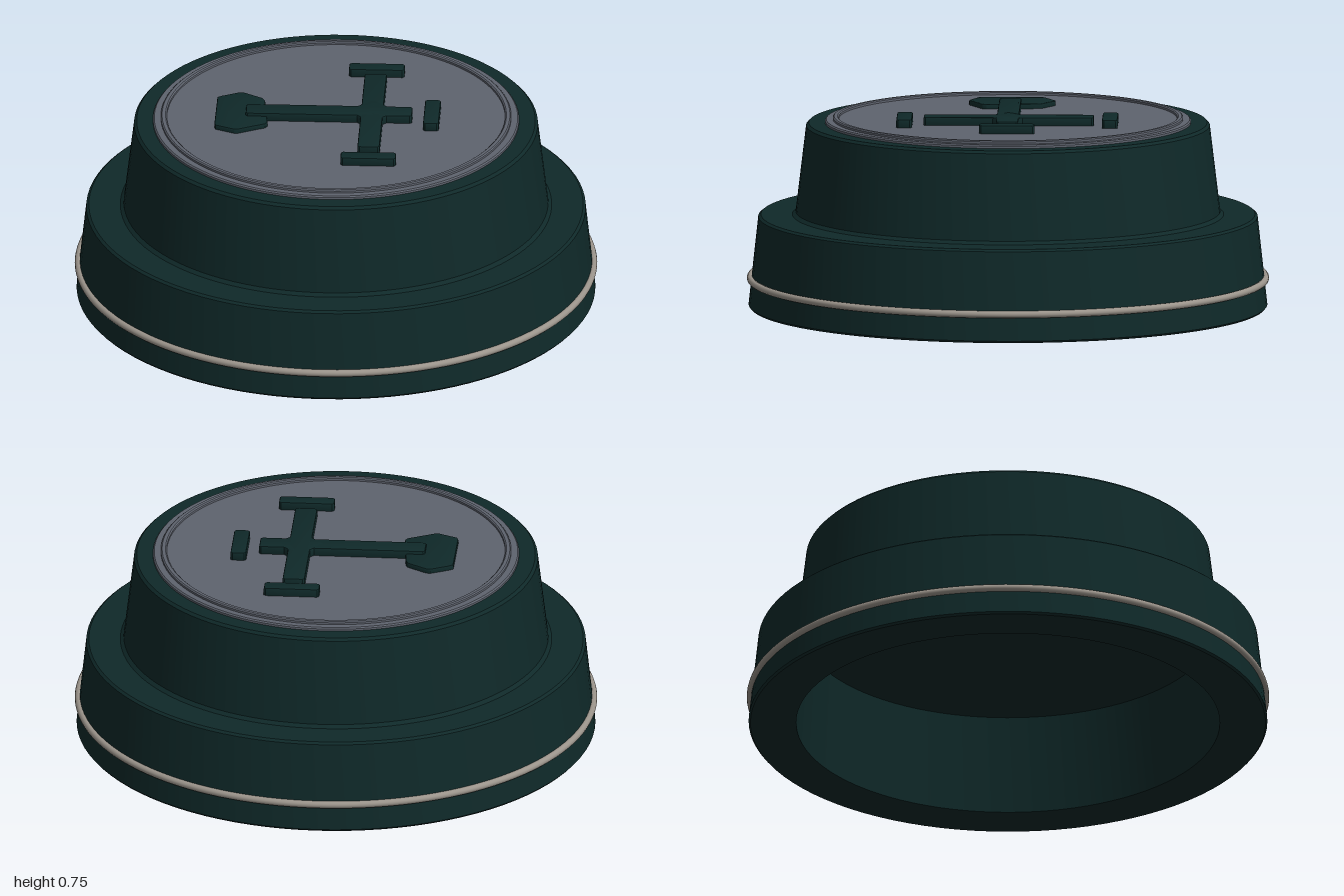
import * as THREE from 'three';
import { toCreasedNormals } from 'three/addons/utils/BufferGeometryUtils.js';

export function createModel() {
  const model = new THREE.Group();
  model.name = 'steppedCap';

  const material = (name, color) => {
    const m = new THREE.MeshStandardMaterial({ color });
    m.name = name;
    return m;
  };
  const darkGreen = material('darkGreen', 0x0f2929);
  const slateGrey = material('slateGrey', 0x5e636e);
  const paleMetal = material('paleMetal', 0x9c958c);

  const add = (name, geometry, mat, parent = model) => {
    const mesh = new THREE.Mesh(geometry, mat);
    mesh.name = name;
    parent.add(mesh);
    return mesh;
  };

  // Revolved solid with crisp edges; profile points are [radius, height]
  const lathe = (points) => toCreasedNormals(
    new THREE.LatheGeometry(points.map(([r, y]) => new THREE.Vector2(r, y)), 96), 0.5);

  // Two-tier body, hollow underneath
  add('body', lathe([
    [0, 0.385], [0.78, 0.385], [0.81, 0], [0.985, 0], [0.992, 0.008],
    [0.955, 0.348], [0.945, 0.356], [0.825, 0.356], [0.812, 0.368],
    [0.772, 0.7], [0.762, 0.71], [0, 0.71],
  ]), darkGreen);

  // Metal band around the lower tier
  const band = new THREE.TorusGeometry(0.985, 0.014, 12, 128);
  band.rotateX(Math.PI / 2);
  add('band', band, paleMetal).position.y = 0.11;

  // Round plate with a raised rim ring
  add('topPlate', lathe([[0.7, 0.705], [0.7, 0.718], [0.695, 0.723], [0, 0.723]]), slateGrey);
  add('plateRing', lathe([
    [0.67, 0.72], [0.67, 0.731], [0.665, 0.735], [0.652, 0.735], [0.647, 0.731], [0.647, 0.72],
  ]), slateGrey);

  // Raised crossed-tools relief
  const relief = new THREE.Group();
  relief.name = 'relief';
  model.add(relief);
  const bevel = 0.006;

  // Bevelled flat slab from [x, z] outline points, with its top at the given height
  const slab = (name, outline, top) => {
    const shape = new THREE.Shape(outline.map(([x, z]) => new THREE.Vector2(x, -z)));
    const base = 0.716;
    const geometry = new THREE.ExtrudeGeometry(shape, {
      depth: top - base - bevel, bevelThickness: bevel, bevelSize: bevel,
      bevelOffset: -bevel, bevelSegments: 2,
    });
    geometry.rotateX(-Math.PI / 2);
    geometry.translate(0, base, 0);
    add(name, toCreasedNormals(geometry, 0.5), darkGreen, relief);
  };

  // Straight bar between two [x, z] ends, with clipped corners
  const bar = (name, [x0, z0], [x1, z1], width) => {
    const length = Math.hypot(x1 - x0, z1 - z0);
    const dx = (x1 - x0) / length, dz = (z1 - z0) / length;
    const h = width / 2, c = 0.008;
    const at = (u, v) => [x0 + dx * u - dz * v, z0 + dz * u + dx * v];
    slab(name, [
      at(c, -h), at(length - c, -h), at(length, c - h), at(length, h - c),
      at(length - c, h), at(c, h), at(0, h - c), at(0, c - h),
    ], 0.755);
  };

  slab('hammerHead', [
    [-0.235, -0.415], [-0.215, -0.412], [-0.142, -0.388], [-0.132, -0.375], [-0.113, -0.29],
    [-0.12, -0.27], [-0.245, -0.12], [-0.262, -0.115], [-0.37, -0.15], [-0.382, -0.16],
    [-0.41, -0.235], [-0.402, -0.25],
  ], 0.742);
  bar('hammerHandle', [-0.242, -0.245], [0.208, 0.205], 0.085);
  bar('crossBar', [0.332, -0.137], [-0.128, 0.323], 0.085);
  bar('hub', [0.03, 0.096], [0.17, 0.096], 0.14);
  bar('handleEnd', [0.187, 0.332], [0.337, 0.182], 0.06);
  bar('upperBarEnd', [0.302, -0.255], [0.452, -0.105], 0.06);
  bar('lowerBarEnd', [-0.253, 0.302], [-0.103, 0.452], 0.06);

  return model;
}
